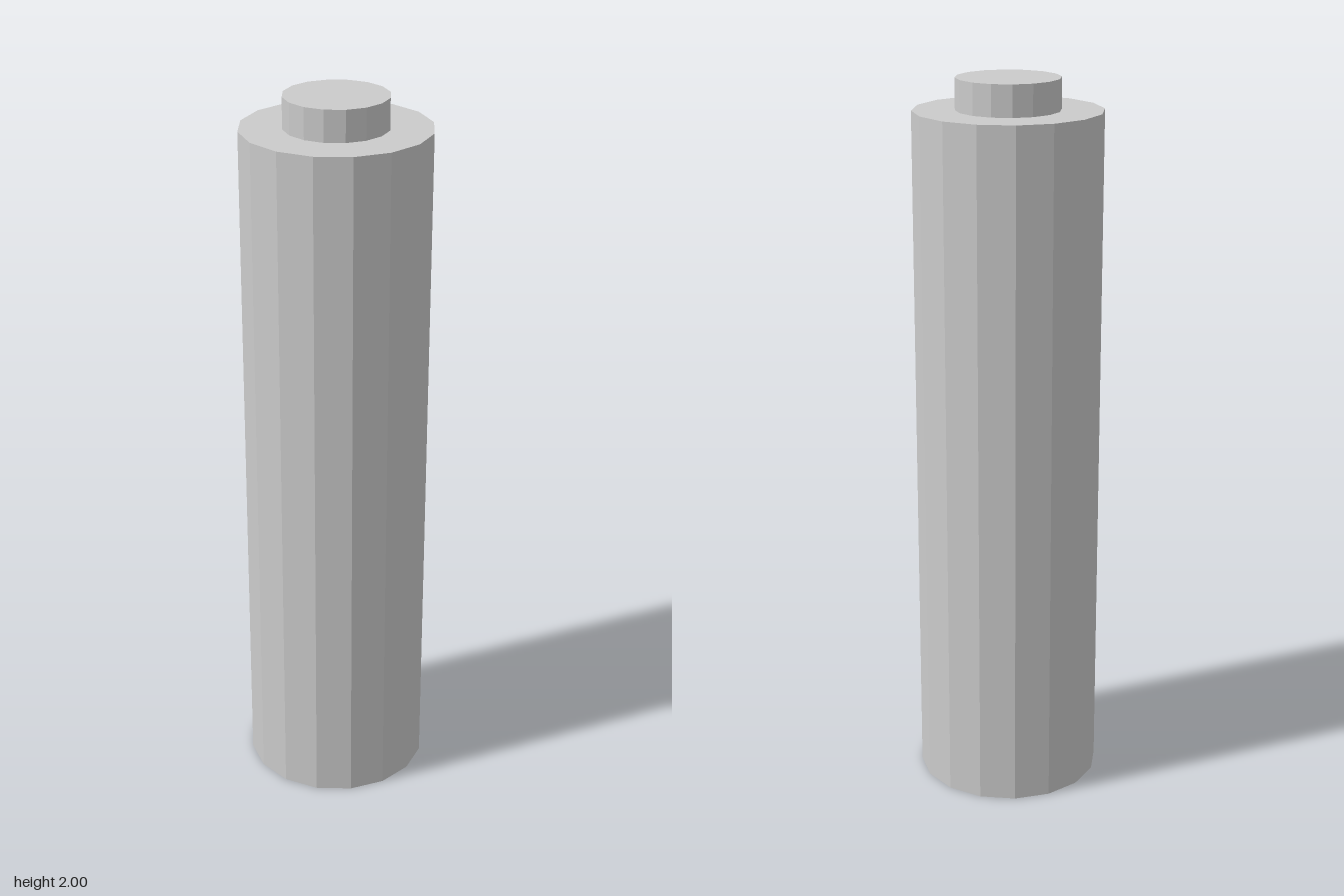
import * as THREE from 'three';

const SIDES = 16;
const BODY_TOP = 1.915;
const TOP = 2;

export function createModel() {
  const group = new THREE.Group();
  group.name = 'battery';
  const material = new THREE.MeshStandardMaterial({ color: 0xcccccc, flatShading: true });

  // Upright faceted cylinder between two heights
  const addCylinder = (name, radius, bottom, top) => {
    const geometry = new THREE.CylinderGeometry(radius, radius, top - bottom, SIDES);
    const mesh = new THREE.Mesh(geometry, material);
    mesh.name = name;
    mesh.position.y = (bottom + top) / 2;
    group.add(mesh);
  };

  // Main casing
  addCylinder('body', 0.256, 0, BODY_TOP);
  // Raised contact on top
  addCylinder('terminal', 0.141, BODY_TOP, TOP);

  return group;
}
